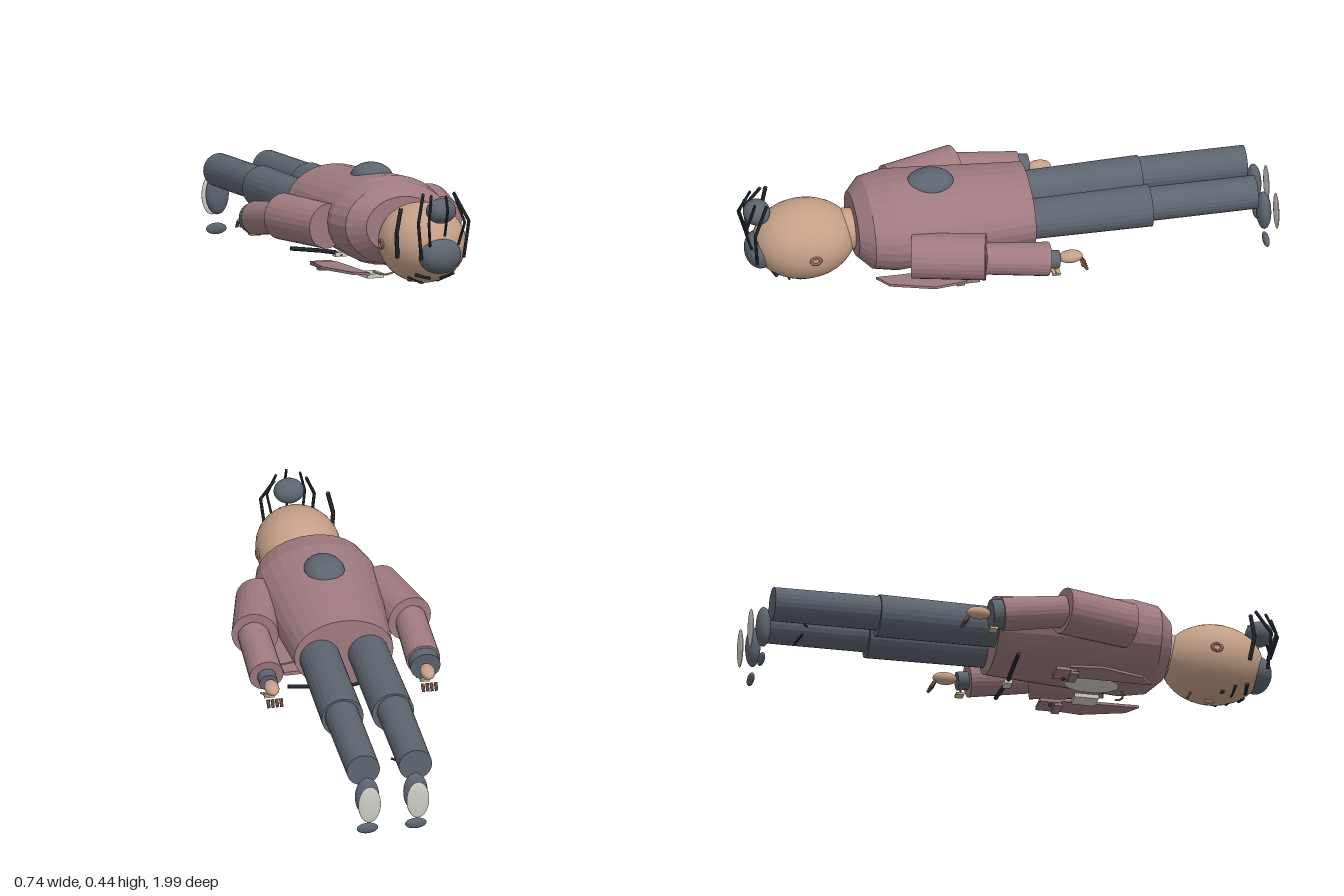
import * as THREE from 'three';

const mat = (name, color) => {
  const m = new THREE.MeshStandardMaterial({ color });
  m.name = name;
  return m;
};

export function createModel() {
  const jacket = mat('dusty rose', 0x9e7a80);
  const slate = mat('slate grey', 0x5d6570);
  const skin = mat('skin', 0xc5a088);
  const blush = mat('dark skin', 0x94695a);
  const pale = mat('off white', 0xcfcdc6);
  const dark = mat('charcoal', 0x30363d);
  const gold = mat('pale gold', 0xc3b48a);

  const model = new THREE.Group();
  model.name = 'lyingFigure';
  const V = (p) => new THREE.Vector3(...p);
  const UP = new THREE.Vector3(0, 1, 0);

  const add = (name, geo, material, pos = [0, 0, 0]) => {
    const mesh = new THREE.Mesh(geo, material);
    mesh.name = name;
    mesh.position.set(...pos);
    model.add(mesh);
    return mesh;
  };
  const facet = (geo) => {
    const g = geo.toNonIndexed();
    g.computeVertexNormals();
    return g;
  };
  const ball = (name, material, pos, size) =>
    add(name, new THREE.SphereGeometry(1, 32, 20).scale(...size), material, pos);
  const box = (name, material, pos, size) =>
    add(name, new THREE.BoxGeometry(...size), material, pos);
  // Tapered faceted cylinder from a to b
  const limb = (name, material, a, b, ra, rb, sides = 24) => {
    const va = V(a), vb = V(b), d = vb.clone().sub(va);
    const mesh = add(name, facet(new THREE.CylinderGeometry(rb, ra, d.length(), sides)), material);
    mesh.position.copy(va).lerp(vb, 0.5);
    mesh.quaternion.setFromUnitVectors(UP, d.normalize());
    return mesh;
  };
  // Bent strand made of short rods
  const strand = (name, material, pts, r) => {
    for (let i = 0; i + 1 < pts.length; i++) limb(name, material, pts[i], pts[i + 1], r, r, 8);
  };

  // Torso: oval profile along z
  const profile = [[0, -0.08], [0.185, -0.08], [0.2, 0.1], [0.217, 0.3], [0.226, 0.43],
    [0.206, 0.52], [0.145, 0.57], [0, 0.57]].map((p) => new THREE.Vector2(...p));
  const torso = new THREE.LatheGeometry(profile, 28).rotateX(Math.PI / 2).scale(1, 0.735, 1);
  add('jacketBody', facet(torso), jacket, [0, 0.245, 0]);
  ball('backPatch', slate, [0, 0.385, 0.28], [0.075, 0.052, 0.09]);

  // Head, neck and hair
  limb('neck', skin, [0, 0.225, 0.53], [0, 0.225, 0.62], 0.075, 0.08);
  ball('head', skin, [0, 0.208, 0.75], [0.156, 0.147, 0.19]);
  ball('hairCap', slate, [0, 0.182, 0.915], [0.081, 0.067, 0.055]);
  ball('hairBun', slate, [0, 0.348, 0.925], [0.056, 0.046, 0.05]);
  strand('hairStrand', dark, [[0, 0.41, 0.97], [0, 0.36, 0.99], [0, 0.26, 0.96]], 0.005);
  strand('sideStrand', dark, [[-0.133, 0.357, 0.865], [-0.155, 0.265, 0.875], [-0.145, 0.175, 0.86]], 0.008);
  ball('nose', skin, [0, 0.066, 0.74], [0.014, 0.014, 0.02]);
  box('mouth', blush, [0, 0.079, 0.665], [0.05, 0.008, 0.008]);

  for (const s of [-1, 1]) {
    strand('hairStrand', dark, [[s * 0.045, 0.41, 0.94], [s * 0.071, 0.31, 0.98], [s * 0.056, 0.225, 0.955]], 0.005);
    strand('hairStrand', dark, [[s * 0.06, 0.41, 0.9], [s * 0.1, 0.31, 0.95], [s * 0.084, 0.175, 0.94]], 0.006);

    // Face
    const ear = add('ear', new THREE.TorusGeometry(0.018, 0.006, 8, 18).rotateY(Math.PI / 2), blush,
      [s * 0.155, 0.208, 0.735]);
    ear.scale.y = 0.8;
    ball('eye', dark, [s * 0.055, 0.077, 0.775], [0.016, 0.007, 0.01]);
    strand('brow', dark, [[s * 0.03, 0.074, 0.815], [s * 0.085, 0.094, 0.82]], 0.005);
    strand('fringe', dark, [[s * 0.02, 0.094, 0.87], [s * 0.075, 0.108, 0.865]], 0.007);

    // Arm
    limb('upperArm', jacket, [s * 0.222, 0.23, 0.392], [s * 0.288, 0.234, 0.13], 0.083, 0.086);
    limb('forearm', jacket, [s * 0.292, 0.23, 0.14], [s * 0.292, 0.195, -0.1], 0.058, 0.063);
    const cuff = s < 0 ? 0.056 : 0.034;
    limb('cuff', slate, [s * 0.292, 0.193, -0.1], [s * 0.292, 0.188, -0.14], cuff, cuff);
    ball('hand', skin, [s * 0.29, 0.193, -0.185], [0.027, 0.023, 0.045]);
    for (let i = 0; i < 4; i++) {
      const x = s * (0.264 + i * 0.016);
      limb('finger', blush, [x, 0.168, -0.225], [x, 0.143, -0.243], 0.007, 0.006, 8);
    }
    strand('wristBand', gold, [[s * 0.32, 0.142, -0.13], [s * 0.29, 0.132, -0.13], [s * 0.26, 0.142, -0.13]], 0.004);
    box('wristClasp', gold, [s * 0.29, 0.131, -0.13], [0.036, 0.009, 0.03]);

    // Leg and shoe
    limb('thigh', slate, [s * 0.09, 0.236, -0.05], [s * 0.094, 0.238, -0.52], 0.074, 0.078);
    limb('shin', slate, [s * 0.097, 0.246, -0.5], [s * 0.097, 0.244, -0.913], 0.063, 0.062);
    ball('shoe', slate, [s * 0.09, 0.152, -0.945], [0.045, 0.077, 0.027]);
    ball('sole', pale, [s * 0.09, 0.143, -0.992], [0.042, 0.075, 0.008]);
    ball('toe', slate, [s * 0.09, 0.022, -0.953], [0.04, 0.021, 0.012]);
    for (const z of [-0.46, -0.77])
      strand('trouserCrease', dark, [[s * 0.035, 0.196, z], [s * 0.085, 0.178, z - 0.02]], 0.004);

    // Jacket front panel and pocket
    const lapel = new THREE.Shape([[0.1, 0.5], [0.155, 0.46], [0.205, 0.3], [0.19, 0.18], [0.105, 0.2]]
      .map(([x, z]) => new THREE.Vector2(s * x, z)));
    const panel = new THREE.ExtrudeGeometry(lapel, { depth: 0.01, bevelEnabled: false }).rotateX(Math.PI / 2);
    add('lapel', panel, jacket, [0, 0.066, 0]);
    box('pocket', jacket, [s * 0.14, 0.054, 0.17], [0.08, 0.014, 0.08]);
    box('pocketFlap', jacket, [s * 0.14, 0.042, 0.2], [0.074, 0.01, 0.03]);
    ball('button', dark, [s * 0.115, 0.042, 0.17], [0.006, 0.008, 0.006]);

    // Belt half and collar chain
    strand('belt', dark, [[s * 0.195, 0.088, -0.015], [s * 0.07, 0.072, -0.015], [s * 0.015, 0.062, -0.015]], 0.008);
    strand('chain', gold, [[s * 0.047, 0.054, 0.4], [s * 0.025, 0.045, 0.41], [0, 0.041, 0.415]], 0.004);
  }

  // Shirt front, chest plate and buckle
  ball('shirtFront', pale, [0, 0.082, 0.3], [0.06, 0.012, 0.1]);
  box('chestPlate', pale, [0, 0.022, 0.275], [0.066, 0.016, 0.09]);
  box('buckle', pale, [0, 0.056, -0.015], [0.046, 0.016, 0.03]);
  ball('bucklePin', dark, [0, 0.052, 0.001], [0.004, 0.004, 0.003]);

  return model;
}
